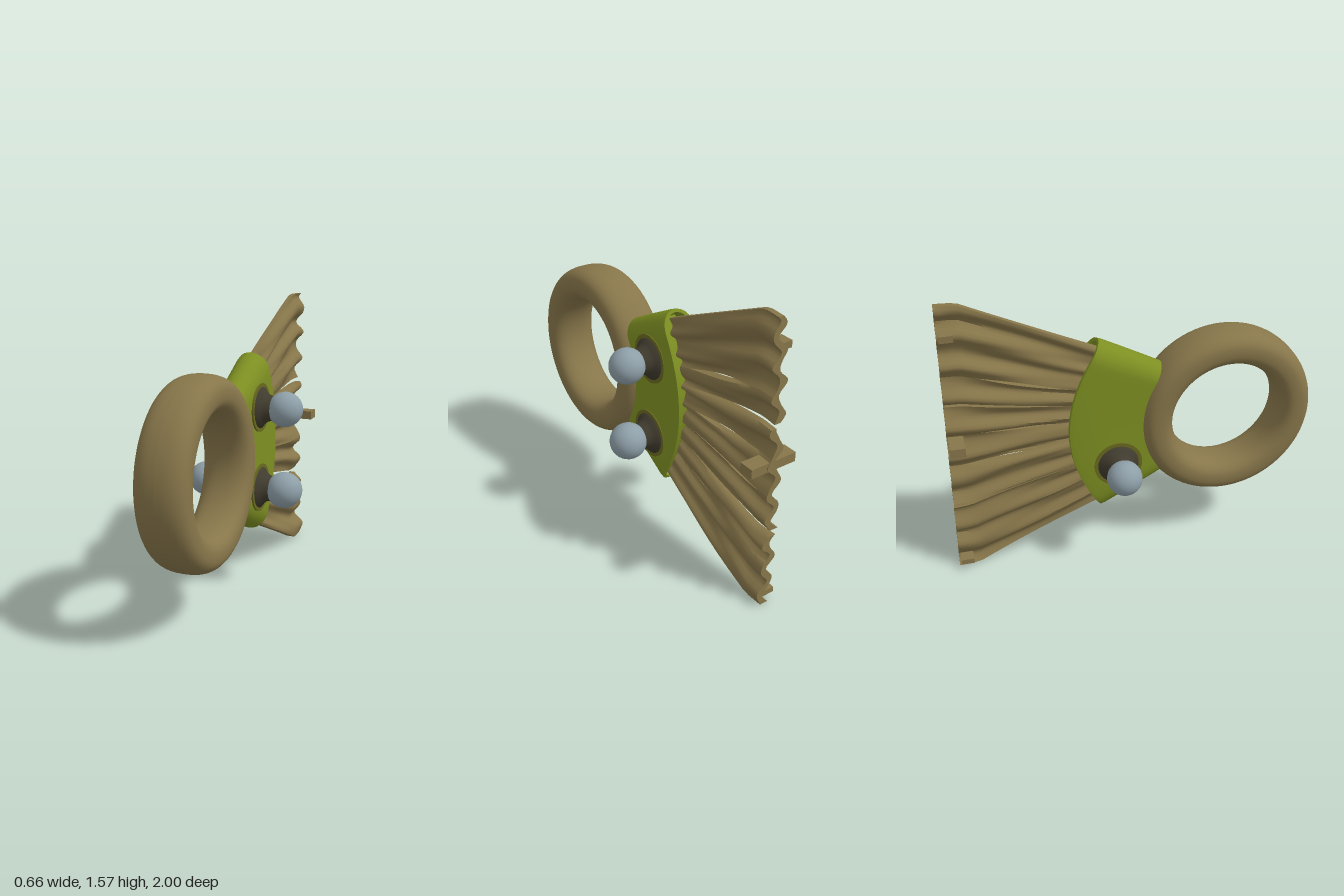
import * as THREE from 'three';
import { toCreasedNormals } from 'three/addons/utils/BufferGeometryUtils.js';

const mat = (name, color) => {
  const m = new THREE.MeshStandardMaterial({ color });
  m.name = name;
  return m;
};

// Skin a list of equal closed cross-sections (counter-clockwise seen from +z, running towards -z).
function loft(rings, crease) {
  const n = rings[0].length, idx = [];
  for (let i = 0; i < rings.length - 1; i++) {
    for (let j = 0; j < n; j++) {
      const a = i * n + j, b = i * n + (j + 1) % n;
      idx.push(a, a + n, b, b, a + n, b + n);
    }
  }
  const e = (rings.length - 1) * n;
  for (let k = 0; k < n / 2 - 1; k++) {
    const p = k, q = k + 1, r = n - 2 - k, s = n - 1 - k;
    idx.push(p, q, r, p, r, s, e + p, e + r, e + q, e + p, e + s, e + r);
  }
  const g = new THREE.BufferGeometry();
  g.setAttribute('position', new THREE.Float32BufferAttribute(rings.flat(2), 3));
  g.setIndex(idx);
  return toCreasedNormals(g, crease);
}

// Tall stadium section, bowed back towards the middle of its height.
function bowedSection(w, h, zEdge, bow) {
  const right = [];
  for (let k = 0; k <= 32; k++) {
    const y = h * Math.sin((k / 32 - 0.5) * Math.PI);
    const t = Math.max(0, (Math.abs(y) - (h - w)) / w);
    right.push([w * Math.sqrt(Math.max(0, 1 - t * t)), 0.8 + y, zEdge - bow * (1 - (y / h) ** 2)]);
  }
  return [...right, ...right.map(([x, y, z]) => [-x, y, z]).reverse()];
}

// Slits that part the fan: position u (0 bottom, 1 top), start and end along the length, half width.
const slits = [
  { u: 0.17, a: 0.05, b: 0.4, w: 0.005 },
  { u: 0.274, a: 0.05, b: 1.9, w: 0.011 },
  { u: 0.42, a: 0.1, b: 0.9, w: 0.007 },
  { u: 0.545, a: 0.15, b: 0.75, w: 0.007 },
  { u: 0.656, a: 0.05, b: 1.9, w: 0.008 },
  { u: 0.757, a: 0.1, b: 0.75, w: 0.008 },
];
const slitGap = (s, v) => (!s || v < s.a || v > s.b ? 0 : s.w * Math.sin(Math.PI * (v - s.a) / (s.b - s.a)));

// One corrugated strip of the fan between two slits.
function fanStrip(lo, hi) {
  const rings = [], cols = Math.max(8, Math.round(((hi ? hi.u : 1) - (lo ? lo.u : 0)) * 90));
  for (let i = 0; i <= 20; i++) {
    const v = i / 20, spread = Math.min(1, v / 0.87);
    const u0 = lo ? lo.u + slitGap(lo, v) : 0, u1 = hi ? hi.u - slitGap(hi, v) : 1;
    const front = [], back = [];
    for (let k = 0; k <= cols; k++) {
      const u = u0 + (u1 - u0) * k / cols;
      const y = THREE.MathUtils.lerp(0.34 + 0.91 * u, 0.005 + 1.565 * u, spread);
      const rootZ = -0.16 - 0.15 * (1 - (2 * u - 1) ** 2);
      const z = THREE.MathUtils.lerp(rootZ, -1 + 0.03 * u, v);
      const mid = (0.012 + 0.012 * v) * Math.sin(u * 62 + 0.8 * Math.sin(v * 4 + u * 9))
        + v * 0.03 * (2 * u - 1) ** 4;
      const half = 0.019 + 0.005 * Math.sin(u * 110 + v * 2);
      front.push([mid + half, y, z]);
      back.push([mid - half, y, z]);
    }
    rings.push([...front, ...back.reverse()]);
  }
  return loft(rings, 0.9);
}

export function createModel() {
  const model = new THREE.Group();
  const khaki = mat('khaki', 0x87764a);
  const green = mat('green', 0x7d8f22);
  const olive = mat('dark olive', 0x67681f);
  const dark = mat('dark brown', 0x403b2e);
  const grey = mat('blue grey', 0x8e9fa8);
  const add = (name, geo, material, parent = model) => {
    const m = new THREE.Mesh(geo, material);
    m.name = name;
    parent.add(m);
    return m;
  };

  // Ring handle with a rounded, wide section
  const profile = [];
  const pow = (c) => Math.sign(c) * Math.abs(c) ** 0.8;
  for (let i = 0; i <= 36; i++) {
    const a = i / 36 * Math.PI * 2;
    profile.push(new THREE.Vector2(0.395 + 0.094 * pow(Math.cos(a)), 0.135 * pow(Math.sin(a))));
  }
  const ring = add('ringHandle', new THREE.LatheGeometry(profile, 80), khaki);
  ring.rotation.z = Math.PI / 2 + 0.015;
  ring.position.set(0, 0.8, 0.513);

  // Flared clamp with a recessed mouth at the back
  add('clamp', loft([
    bowedSection(0.088, 0.33, 0.16, 0.11),
    bowedSection(0.092, 0.42, -0.01, 0.145),
    bowedSection(0.095, 0.495, -0.155, 0.175),
    bowedSection(0.09, 0.505, -0.18, 0.18),
    bowedSection(0.07, 0.49, -0.188, 0.175),
    bowedSection(0.055, 0.47, -0.17, 0.17),
    bowedSection(0.05, 0.465, -0.12, 0.17),
  ], 0.8), green);

  // Ball studs: two on the left, one on the right
  const stalk = [[0.118, 0.08], [0.112, 0.1], [0.09, 0.115], [0.075, 0.135], [0.066, 0.165]];
  const neck = [[0.066, 0.16], [0.062, 0.18], [0.068, 0.21]];
  const lathe = (pts) => new THREE.LatheGeometry(pts.map(([r, d]) => new THREE.Vector2(r, d)), 32);
  for (const [side, y, r] of [[1, 1.02, 0.095], [1, 0.57, 0.099], [-1, 0.59, 0.094]]) {
    const stud = new THREE.Group();
    stud.name = 'ballStud';
    add('studPad', new THREE.CylinderGeometry(0.132, 0.132, 0.009, 40), olive, stud).position.y = 0.094;
    add('studStalk', lathe(stalk), dark, stud);
    add('studNeck', lathe(neck), grey, stud);
    add('studBall', new THREE.SphereGeometry(r, 32, 24), grey, stud).position.y = 0.232;
    stud.rotation.z = -side * Math.PI / 2;
    stud.position.set(0, y, -0.102);
    model.add(stud);
  }

  // Corrugated fan, strip by strip
  for (let i = 0; i <= slits.length; i++) add('fanStrip', fanStrip(slits[i - 1], slits[i]), khaki);

  // Small cross bar and nubs at the fan's rear edge
  add('crossBar', new THREE.BoxGeometry(0.265, 0.05, 0.08), khaki).position.set(0.004, 0.82, -0.94);
  add('lowerNub', new THREE.BoxGeometry(0.07, 0.03, 0.07), khaki).position.set(-0.015, 0.055, -0.955);
  add('upperNub', new THREE.BoxGeometry(0.06, 0.035, 0.07), khaki).position.set(-0.03, 1.42, -0.93);
  return model;
}
